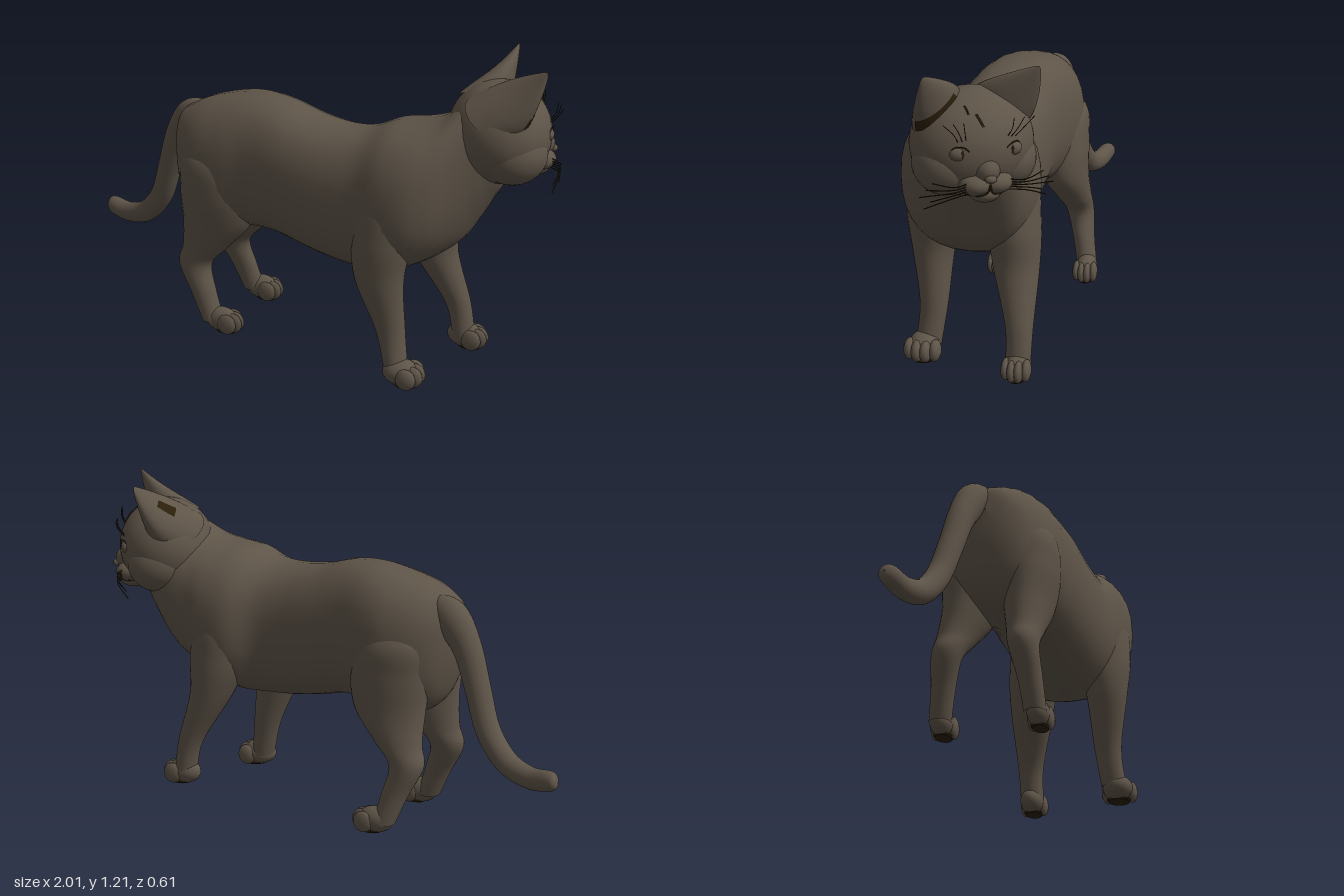
import * as THREE from 'three';

const fur = new THREE.MeshStandardMaterial({ color: 0x5e5448 });
fur.name = 'fur';
const dark = new THREE.MeshStandardMaterial({ color: 0x2b1f0b, side: THREE.DoubleSide });
dark.name = 'dark brown';

const V = (x, y, z) => new THREE.Vector3(x, y, z);
const X = V(1, 0, 0), DOWN = V(0, -1, 0), Z = V(0, 0, 1);

function add(parent, name, geometry, material = fur) {
  const mesh = new THREE.Mesh(geometry, material);
  mesh.name = name;
  parent.add(mesh);
  return mesh;
}

// Ellipsoid at a position with three radii
function blob(parent, name, pos, radii, material = fur, seg = 24) {
  const mesh = add(parent, name, new THREE.SphereGeometry(1, seg, Math.ceil(seg * 0.7)), material);
  mesh.position.set(...pos);
  mesh.scale.set(...radii);
}

// Skin over rings { c, u, v }: centre and the two half-axes
function skin(rings, from = 0, to = Math.PI * 2, power = 2, seg = 32) {
  const pos = [], index = [], closed = to - from > 6.28, n = closed ? seg : seg + 1;
  const bend = (k) => Math.sign(k) * Math.abs(k) ** (2 / power);
  rings.forEach(({ c, u, v }) => {
    for (let j = 0; j < n; j++) {
      const a = from + ((to - from) * j) / seg;
      const p = c.clone().addScaledVector(u, bend(Math.cos(a))).addScaledVector(v, bend(Math.sin(a)));
      pos.push(p.x, p.y, p.z);
    }
  });
  for (let i = 0; i < rings.length - 1; i++) {
    for (let j = 0; j < seg; j++) {
      const a = i * n + j, b = i * n + ((j + 1) % n);
      index.push(a, b, a + n, b, b + n, a + n);
    }
  }
  const g = new THREE.BufferGeometry();
  g.setAttribute('position', new THREE.Float32BufferAttribute(pos, 3));
  g.setIndex(index);
  g.computeVertexNormals();
  return g;
}

// Smooth limb through rows [x, y, z, radius, side radius]; rings face dir, or follow the path
function limb(rows, dir, power = 2, steps = 48) {
  const path = new THREE.CatmullRomCurve3(rows.map((r) => V(r[0], r[1], r[2])), false, 'catmullrom');
  const size = new THREE.CatmullRomCurve3(rows.map((r) => V(r[3], r[4], 0)), false, 'catmullrom');
  const rings = [];
  for (let i = 0; i <= steps; i++) {
    const t = i / steps, s = size.getPoint(t), d = dir || path.getTangent(t);
    const u = Z.clone().cross(d).normalize();
    rings.push({ c: path.getPoint(t), u: u.multiplyScalar(Math.max(s.x, 0.001)), v: Z.clone().multiplyScalar(Math.max(s.y, 0.001)) });
  }
  return skin(rings, 0, Math.PI * 2, power);
}

function hair(parent, name, points, radius = 0.002) {
  const curve = new THREE.CatmullRomCurve3(points.map((p) => V(...p)));
  add(parent, name, new THREE.TubeGeometry(curve, 10, radius, 5), dark);
}

function makePaw(name, x, y, z, wide) {
  const paw = new THREE.Group();
  paw.name = name;
  paw.position.set(x, y, z);
  blob(paw, 'foot', [-0.012, 0.05, 0], [0.07, 0.049, 0.056 * wide]);
  [-1.5, -0.5, 0.5, 1.5].forEach((k) => {
    const back = Math.abs(k) > 1 ? 0.016 : 0;
    blob(paw, 'toe', [0.04 - back, 0.043, k * 0.03 * wide], [0.04, 0.041, 0.022 * wide], fur, 14);
  });
  const pad = add(paw, 'pawPad', new THREE.CylinderGeometry(1, 0.85, 0.008, 20), dark);
  pad.position.set(0.01, 0.005, 0);
  pad.scale.set(0.05, 1, 0.045 * wide);
  return paw;
}

function makeEar(parent, s) {
  const base = V(0.02, 0.115, 0.115 * s), tip = V(0.11, 0.266, 0.198 * s);
  // Rings deepen backwards towards the root so the ear runs into the head
  const ring = (t, grow = 1) => {
    const w = ((1 - Math.max(t, 0) ** 1.5) * 0.97 + 0.06) * grow, root = (1 - t) ** 2;
    return {
      c: base.clone().lerp(tip, t).add(V(-0.032 * root, 0, 0)),
      u: V(0.005, -0.055, 0.082 * s).multiplyScalar(w),
      v: V(0.045 * s, -0.013 * s, 0).multiplyScalar(w * (1 + 0.7 * root)),
    };
  };
  const rings = [-0.25, 0, 0.15, 0.3, 0.45, 0.6, 0.75, 0.88, 0.96].map((t) => ring(t));
  add(parent, 'ear', skin([...rings, ring(1, 0.05)]));
  // Dark patch: low on the front of the left ear, a slit behind the right one
  const [levels, from, to] = s > 0 ? [[0.08, 0.18, 0.28], 0.35, 2.5] : [[0.2, 0.35, 0.5], 1.2, 1.7];
  add(parent, 'earPatch', skin(levels.map((t) => ring(t, 1.02)), from, to, 2, 12), dark);
}

function makeHead() {
  const head = new THREE.Group();
  head.name = 'head';
  head.position.set(0.755, 0.945, -0.025);
  head.rotation.y = 0.55;
  blob(head, 'skull', [0, 0, 0], [0.186, 0.186, 0.21], fur, 48);
  blob(head, 'bridge', [0.135, -0.05, 0], [0.07, 0.055, 0.05]);
  blob(head, 'nose', [0.2, -0.07, 0], [0.016, 0.014, 0.02]);
  blob(head, 'chin', [0.135, -0.132, 0], [0.055, 0.035, 0.055]);
  [1, -1].forEach((s) => {
    blob(head, 'cheek', [0.025, -0.055, 0.1 * s], [0.125, 0.11, 0.112], fur, 32);
    blob(head, 'muzzle', [0.142, -0.098, 0.034 * s], [0.06, 0.04, 0.058]);
    blob(head, 'eye', [0.15, 0.012, 0.088 * s], [0.024, 0.026, 0.036]);
    blob(head, 'pupil', [0.172, 0.014, 0.085 * s], [0.003, 0.013, 0.005], dark, 12);
    hair(head, 'eyelid', [[0.172, 0.008, 0.052 * s], [0.174, 0.037, 0.08 * s], [0.158, 0.036, 0.107 * s], [0.144, 0.014, 0.124 * s]]);
    hair(head, 'mouthLine', [[0.195, -0.09, 0], [0.19, -0.12, 0.008 * s], [0.18, -0.13, 0.035 * s], [0.145, -0.124, 0.08 * s]], 0.003);
    makeEar(head, s);
    for (let i = 0; i < 5; i++) {
      const y = -0.085 - 0.009 * i, out = 0.19 + 0.02 * (i % 3);
      hair(head, 'whisker', [[0.17, y, 0.06 * s], [0.19, y - 0.002, 0.12 * s], [0.175 - 0.008 * i, y - 0.015 * i + 0.015, out * s]]);
    }
    for (let i = 0; i < 3; i++) {
      hair(head, 'browWhisker', [[0.16, 0.055, (0.07 + 0.014 * i) * s], [0.182, 0.09, (0.08 + 0.02 * i) * s], [0.185, 0.125, (0.085 + 0.035 * i) * s]], 0.0014);
    }
  });
  // Short marks on the brow
  hair(head, 'browMark', [[0.158, 0.095, 0.01], [0.146, 0.115, 0.018], [0.131, 0.132, 0.026]], 0.004);
  hair(head, 'browMark', [[0.126, 0.132, 0.05], [0.112, 0.144, 0.052], [0.098, 0.153, 0.055]], 0.003);
  return head;
}

export function createModel() {
  const cat = new THREE.Group();
  cat.name = 'cat';

  // Trunk and neck, rump to head
  add(cat, 'body', limb([
    [-0.53, 0.78, -0.025, 0.002, 0.002], [-0.515, 0.755, -0.025, 0.11, 0.08], [-0.47, 0.705, -0.022, 0.195, 0.145],
    [-0.39, 0.69, -0.018, 0.247, 0.19], [-0.28, 0.7, -0.016, 0.266, 0.208], [-0.18, 0.718, -0.005, 0.262, 0.2],
    [-0.06, 0.713, 0.02, 0.258, 0.192], [0.07, 0.68, 0.038, 0.256, 0.195], [0.2, 0.66, 0.055, 0.26, 0.195],
    [0.3, 0.66, 0.06, 0.267, 0.205], [0.4, 0.682, 0.052, 0.283, 0.245], [0.5, 0.708, 0.048, 0.272, 0.248],
    [0.58, 0.742, 0.035, 0.262, 0.222], [0.65, 0.795, 0.005, 0.262, 0.19], [0.7, 0.845, -0.015, 0.235, 0.17],
    [0.745, 0.885, -0.025, 0.195, 0.15], [0.79, 0.905, -0.03, 0.13, 0.11], [0.81, 0.92, -0.03, 0.01, 0.01],
  ], X, 2.35, 90));

  // Legs, shoulder or hip to ankle
  const legs = {
    leftFrontLeg: [[0.43, 0.88, 0.12, 0.01, 0.01], [0.42, 0.74, 0.175, 0.1, 0.1], [0.4, 0.56, 0.195, 0.112, 0.107],
      [0.393, 0.4, 0.207, 0.093, 0.079], [0.437, 0.2, 0.198, 0.056, 0.053], [0.468, 0.05, 0.212, 0.044, 0.048]],
    rightFrontLeg: [[0.46, 0.86, -0.03, 0.01, 0.01], [0.46, 0.72, -0.085, 0.095, 0.095], [0.47, 0.55, -0.108, 0.115, 0.098],
      [0.495, 0.4, -0.122, 0.086, 0.085], [0.578, 0.2, -0.15, 0.05, 0.051], [0.607, 0.06, -0.152, 0.043, 0.045]],
    leftHindLeg: [[-0.33, 0.86, 0.05, 0.01, 0.01], [-0.33, 0.74, 0.085, 0.13, 0.095], [-0.32, 0.6, 0.09, 0.155, 0.103],
      [-0.33, 0.47, 0.085, 0.14, 0.088], [-0.382, 0.36, 0.085, 0.093, 0.067], [-0.425, 0.28, 0.09, 0.067, 0.055],
      [-0.385, 0.17, 0.103, 0.052, 0.044], [-0.342, 0.06, 0.11, 0.044, 0.04]],
    rightHindLeg: [[-0.32, 0.86, -0.08, 0.01, 0.01], [-0.32, 0.74, -0.125, 0.13, 0.1], [-0.3, 0.61, -0.135, 0.155, 0.108],
      [-0.305, 0.47, -0.15, 0.14, 0.092], [-0.355, 0.36, -0.178, 0.093, 0.07], [-0.4, 0.28, -0.198, 0.067, 0.055],
      [-0.365, 0.17, -0.22, 0.052, 0.043], [-0.33, 0.06, -0.24, 0.044, 0.04]],
  };
  Object.entries(legs).forEach(([name, rows]) => add(cat, name, limb(rows, DOWN)));
  cat.add(
    makePaw('leftFrontPaw', 0.502, 0, 0.222, 1.05),
    makePaw('rightFrontPaw', 0.622, 0.016, -0.153, 0.82),
    makePaw('leftHindPaw', -0.292, 0.02, 0.112, 0.72),
    makePaw('rightHindPaw', -0.287, 0.02, -0.243, 0.75),
  );

  // Tail hangs down and curls up at its end
  add(cat, 'tail', limb([
    [-0.42, 0.85, -0.045, 0.05, 0.05], [-0.51, 0.825, -0.075, 0.068, 0.06], [-0.585, 0.73, -0.095, 0.055, 0.05],
    [-0.64, 0.59, -0.115, 0.048, 0.046], [-0.695, 0.45, -0.14, 0.046, 0.044], [-0.78, 0.355, -0.165, 0.044, 0.041],
    [-0.88, 0.323, -0.192, 0.041, 0.037], [-0.965, 0.333, -0.214, 0.037, 0.034], [-0.99, 0.335, -0.22, 0.025, 0.024],
    [-0.999, 0.336, -0.221, 0.002, 0.002],
  ], null, 2, 72));

  cat.add(makeHead());
  return cat;
}
